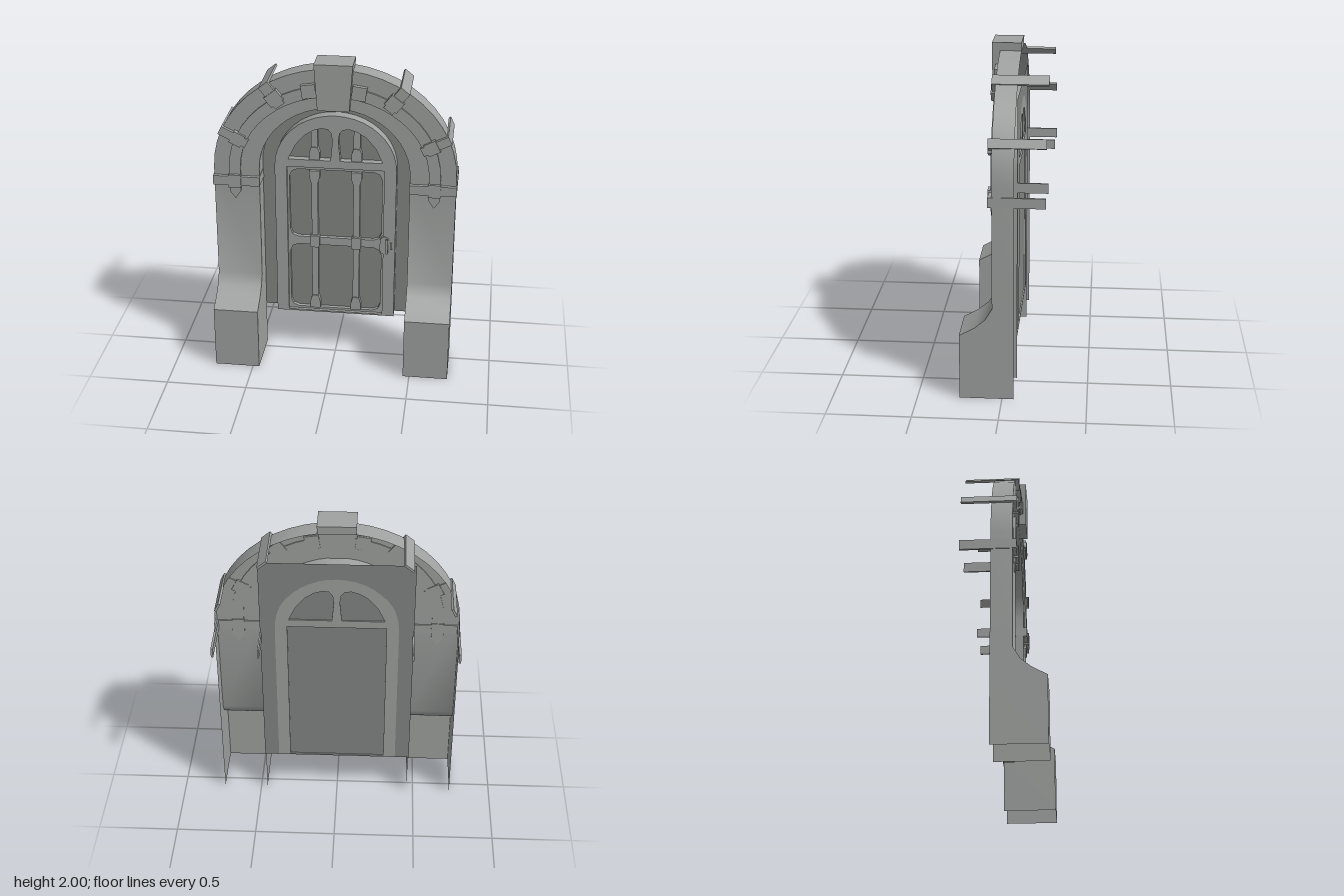
import * as THREE from 'three';
import { toCreasedNormals } from 'three/addons/utils/BufferGeometryUtils.js';

const SPRING = 1.3; // height where the arches start
const stone = new THREE.MeshStandardMaterial({ color: 0x9fa2a0, side: THREE.DoubleSide });
const dark = new THREE.MeshStandardMaterial({ color: 0x848785, side: THREE.DoubleSide });

export function createModel() {
  const root = new THREE.Group();

  const add = (geometry, name, parent = root, material = stone) => {
    const mesh = new THREE.Mesh(geometry, material);
    mesh.name = name;
    parent.add(mesh);
    return mesh;
  };
  // Box given by its limits
  const box = (name, x0, x1, y0, y1, z0, z1, parent = root) => {
    const mesh = add(new THREE.BoxGeometry(x1 - x0, y1 - y0, z1 - z0), name, parent);
    mesh.position.set((x0 + x1) / 2, (y0 + y1) / 2, (z0 + z1) / 2);
    return mesh;
  };
  // Extrusion of an outline between two depths
  const slab = (name, shape, z0, z1, material = stone) => {
    const g = new THREE.ExtrudeGeometry(shape, { depth: z1 - z0, bevelEnabled: false });
    g.translate(0, 0, z0);
    return add(toCreasedNormals(g, 0.5), name, root, material);
  };
  const poly = (pts) => new THREE.Shape(pts.map(([x, y]) => new THREE.Vector2(x, y)));
  const archPoints = (a, b, n = 20) => Array.from({ length: n + 1 }, (_, i) => {
    const t = (Math.PI * i) / n;
    return [a * Math.cos(t), SPRING + b * Math.sin(t)];
  });
  const archShape = (a, b, y0) => poly([[-a, y0], [a, y0], ...archPoints(a, b)]);
  const cutCorners = (x0, x1, y0, y1, c) => poly([
    [x0 + c, y0], [x1 - c, y0], [x1 - c * 0.3, y0 + c * 0.3], [x1, y0 + c],
    [x1, y1 - c], [x1 - c * 0.3, y1 - c * 0.3], [x1 - c, y1], [x0 + c, y1],
    [x0 + c * 0.3, y1 - c * 0.3], [x0, y1 - c], [x0, y0 + c], [x0 + c * 0.3, y0 + c * 0.3]]);

  // Stone surround: a U section, open behind, swept up one pillar, over and down
  const foot = [[0, 0.25], [0.4, 0.25], [0.45, 0.16], [0.5, 0.1], [0.57, 0.057]];
  const section = (xo, yo, xi, yi, z) => [[xo, yo, -0.07], [xo, yo, z], [xi, yi, z], [xi, yi, -0.07]];
  const outer = archPoints(0.74, 0.66, 24), inner = archPoints(0.46, 0.415, 24);
  const sections = [
    ...foot.map(([y, z]) => section(0.74, y, 0.46, y, z)),
    ...outer.map((o, i) => section(...o, ...inner[i], 0.057)),
    ...foot.slice().reverse().map(([y, z]) => section(-0.74, y, -0.46, y, z))];
  const verts = [];
  for (let i = 0; i < sections.length - 1; i++) {
    const a = sections[i], b = sections[i + 1];
    for (let j = 0; j < 3; j++) {
      verts.push(...a[j], ...b[j], ...b[j + 1], ...a[j], ...b[j + 1], ...a[j + 1]);
    }
  }
  const shell = new THREE.BufferGeometry();
  shell.setAttribute('position', new THREE.Float32BufferAttribute(verts, 3));
  add(toCreasedNormals(shell, 0.6), 'stoneSurround');

  // Keystone: a front wedge with a cap running back over the arch
  slab('keystone', poly([[-0.095, 1.715], [0.095, 1.715], [0.1115, 1.95], [-0.1115, 1.95]]), 0.05, 0.105);
  slab('keystoneCap', poly([[-0.1115, 1.95], [0.1115, 1.95], [0.115, 2], [-0.115, 2]]), -0.07, 0.105);

  // Back wall with a shallow arched recess behind the door
  const wall = poly([[-0.465, 0.285], [0.465, 0.285], [0.465, 1.75], [-0.465, 1.75]]);
  wall.holes.push(archShape(0.373, 0.343, 0.287));
  add(new THREE.ShapeGeometry(wall), 'backWall', root, dark).position.z = -0.071;
  slab('doorBacking', archShape(0.373, 0.343, 0.287), -0.062, -0.045, dark);

  // Door frame with the leaf opening and two fanlight windows
  const frame = archShape(0.375, 0.345, 0.285);
  frame.holes.push(poly([[-0.3, 0.295], [0.3, 0.295], [0.3, 1.3], [-0.3, 1.3]]));
  for (const s of [-1, 1]) {
    frame.holes.push(poly([[0.29, 1.35], [0.03, 1.35], [0.018, 1.48], [0.025, 1.53], [0.045, 1.555],
      [0.085, 1.56], [0.135, 1.545], [0.19, 1.51], [0.245, 1.445]].map(([x, y]) => [s * x, y])));
  }
  slab('doorFrame', frame, -0.071, 0);

  // Door leaf with two sunk panels and a rail between them
  const leaf = poly([[-0.3, 0.29], [0.3, 0.29], [0.3, 1.3], [-0.3, 1.3]]);
  leaf.holes.push(cutCorners(-0.287, 0.287, 0.815, 1.278, 0.05), cutCorners(-0.287, 0.287, 0.31, 0.762, 0.05));
  slab('doorLeaf', leaf, -0.06, -0.02);

  // Vertical bars with flared ends and bosses
  const flare = (name, x, y0, y1) => {
    const w = 0.032, n = 0.02, d = Math.sign(y1 - y0) * 0.045;
    const pts = [[x - w, y0], [x + w, y0], [x + w, y0 + d], [x + n, y1], [x - n, y1], [x - w, y0 + d]];
    slab(name, poly(y1 > y0 ? pts : pts.reverse()), -0.05, -0.008);
  };
  for (const x of [-0.13, 0.13]) {
    box('doorBar', x - 0.02, x + 0.02, 0.31, 1.275, -0.05, -0.015);
    box('windowBar', x - 0.02, x + 0.02, 1.35, 1.55, -0.05, -0.015);
    slab('barBoss', cutCorners(x - 0.03, x + 0.03, 0.752, 0.832, 0.012), -0.05, 0);
    flare('barFoot', x, 0.31, 0.4);
    flare('barHead', x, 1.275, 1.19);
    flare('windowBarFoot', x, 1.35, 1.43);
  }

  // Handle
  slab('handlePlate', cutCorners(0.28, 0.338, 0.73, 0.855, 0.028), -0.03, 0.005);
  box('handleGrip', 0.318, 0.332, 0.745, 0.845, 0.02, 0.03);
  for (const y of [0.75, 0.828]) box('handlePost', 0.318, 0.332, y, y + 0.012, 0, 0.025);
  box('lockBolt', 0.344, 0.356, 0.77, 0.815, -0.01, 0.01);

  // Metal strip along the arch, with pointed ends
  const strip = poly([
    [0.575, 1.15], [0.61, 1.1], [0.645, 1.15], ...archPoints(0.645, 0.56, 24),
    [-0.645, 1.15], [-0.61, 1.1], [-0.575, 1.15], ...archPoints(0.575, 0.49, 24).reverse()]);
  slab('archStrip', strip, 0.05, 0.07);

  // Bands across the arch; local +x points outward, the tail runs back
  const band = (x, y, angle, length, width, collar, innerTail) => {
    for (const s of [1, -1]) {
      const g = new THREE.Group();
      g.name = 'band';
      g.position.set(s * x, y, 0);
      g.rotation.z = s > 0 ? angle : Math.PI - angle;
      const h = width / 2;
      box('bandFront', -length, 0, -h, h, 0.05, 0.08, g);
      box('bandTail', -0.01, 0.004, -h, h, -0.25, 0.08, g);
      if (innerTail) box('bandInnerTail', -length - 0.002, -length + 0.008, -h, h, -0.25, 0.08, g);
      box('bandCollar', -collar - 0.038, -collar + 0.038, -h - 0.012, h + 0.012, 0.045, 0.087, g);
      root.add(g);
    }
  };
  band(0.741, 1.22, 0, 0.282, 0.06, 0.131, true);
  band(0.69, 1.55, 0.47, 0.18, 0.055, 0.115, false);
  band(0.42, 1.848, 0.9, 0.16, 0.068, 0.1, false);

  // Collars beside the keystone
  for (const s of [-1, 1]) {
    const c = box('keystoneCollar', s * 0.15 - 0.043, s * 0.15 + 0.043, 1.78, 1.865, 0.045, 0.085);
    c.rotation.z = -s * 0.15;
  }
  return root;
}
